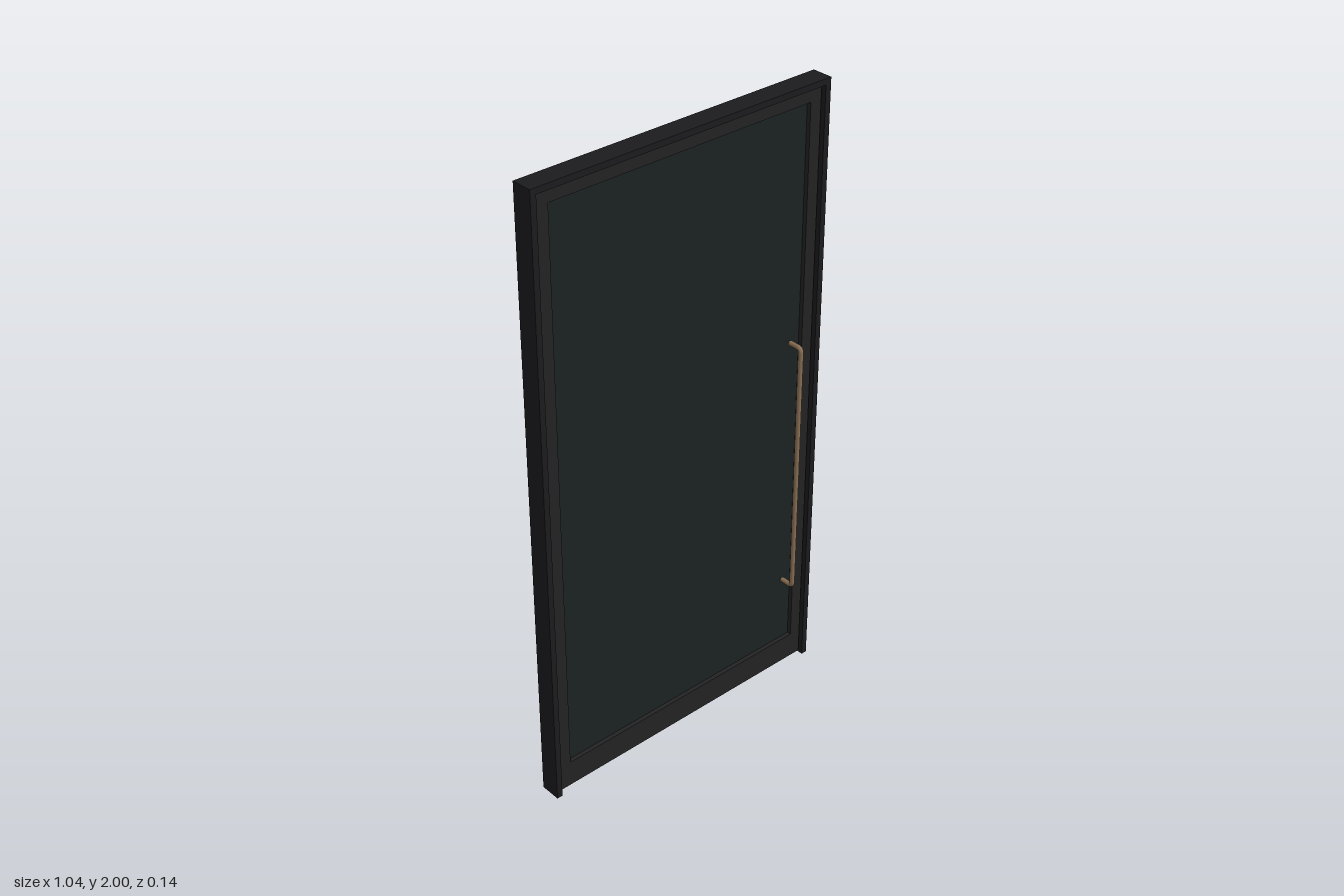
import * as THREE from 'three';

const material = (color) => new THREE.MeshStandardMaterial({ color });

// Closed outline from x0..x1, y0..y1
function rect(path, x0, y0, x1, y1) {
  path.moveTo(x0, y0);
  path.lineTo(x1, y0);
  path.lineTo(x1, y1);
  path.lineTo(x0, y1);
  path.closePath();
  return path;
}

// Extrude a shape to a depth centred on z = 0
function slab(name, shape, depth, mat) {
  const geometry = new THREE.ExtrudeGeometry(shape, { depth, bevelEnabled: false });
  geometry.translate(0, 0, -depth / 2);
  const mesh = new THREE.Mesh(geometry, mat);
  mesh.name = name;
  return mesh;
}

// Pull bar with rounded corners; side is +1 for the front, -1 for the back
function pullHandle(side, mat) {
  const x = 0.411, low = 0.34, high = 1.2, out = 0.063, bend = 0.014;
  const p = (y, z) => new THREE.Vector3(x, y, z * side);
  const path = new THREE.CurvePath();
  path.add(new THREE.LineCurve3(p(low, 0.018), p(low, out - bend)));
  path.add(new THREE.QuadraticBezierCurve3(p(low, out - bend), p(low, out), p(low + bend, out)));
  path.add(new THREE.LineCurve3(p(low + bend, out), p(high - bend, out)));
  path.add(new THREE.QuadraticBezierCurve3(p(high - bend, out), p(high, out), p(high, out - bend)));
  path.add(new THREE.LineCurve3(p(high, out - bend), p(high, 0.018)));
  const mesh = new THREE.Mesh(new THREE.TubeGeometry(path, 240, 0.008, 16, false), mat);
  mesh.name = side > 0 ? 'frontHandle' : 'backHandle';
  return mesh;
}

export function createModel() {
  const group = new THREE.Group();
  group.name = 'door';
  const frameMat = material(0x1c1c1e);
  const leafMat = material(0x242324);
  const glassMat = material(0x1c2223);
  const bronze = material(0x8a7055);

  // Fixed frame: two jambs and a head, open at the floor
  const frame = new THREE.Shape();
  [[-0.518, 0], [-0.499, 0], [-0.499, 1.981], [0.499, 1.981],
    [0.499, 0], [0.518, 0], [0.518, 2], [-0.518, 2]]
    .forEach(([x, y], i) => (i ? frame.lineTo(x, y) : frame.moveTo(x, y)));
  frame.closePath();
  group.add(slab('doorFrame', frame, 0.067, frameMat));

  // Door leaf: thin stiles and top rail, deeper bottom rail
  const leaf = rect(new THREE.Shape(), -0.494, 0.011, 0.494, 1.976);
  leaf.holes.push(rect(new THREE.Path(), -0.455, 0.098, 0.455, 1.94));
  group.add(slab('doorLeaf', leaf, 0.044, leafMat));

  // Dark glass set back into the leaf
  const glass = new THREE.Mesh(new THREE.BoxGeometry(0.912, 1.844, 0.016), glassMat);
  glass.name = 'glassPane';
  glass.position.set(0, 1.019, 0);
  group.add(glass);

  // Pull handles on both faces
  for (const side of [1, -1]) group.add(pullHandle(side, bronze));

  return group;
}
